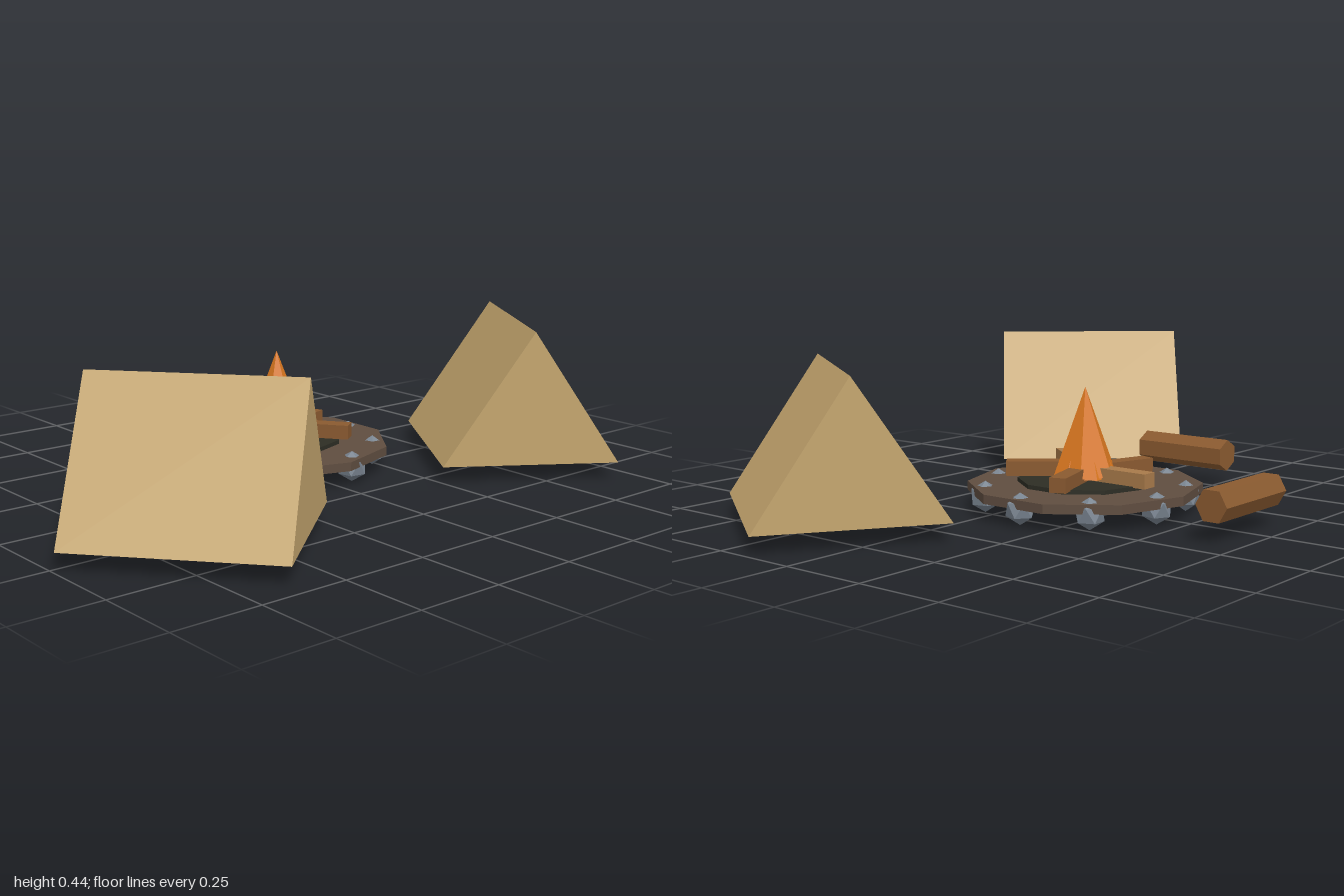
import * as THREE from 'three';

const mat = (name, color) => {
  const m = new THREE.MeshStandardMaterial({ color, flatShading: true });
  m.name = name;
  return m;
};

export function createModel() {
  const canvas = mat('tanCanvas', 0xc4a56e);
  canvas.side = THREE.DoubleSide;
  const earth = mat('brownEarth', 0x5f4d40);
  const ash = mat('darkAsh', 0x2d2d24);
  const stone = mat('greyStone', 0x7a8591);
  const bark = mat('brownWood', 0x8a5a30);
  const paleWood = mat('paleWood', 0xa87a4a);
  const fire = mat('orangeFlame', 0xd9771f);

  const model = new THREE.Group();
  model.name = 'campsite';
  const add = (parent, name, geometry, material, x, y, z) => {
    const mesh = new THREE.Mesh(geometry, material);
    mesh.name = name;
    mesh.position.set(x, y, z);
    parent.add(mesh);
    return mesh;
  };

  // Tents: two slopes and two gables, open underneath
  const tentGeometry = (w, h, l) => {
    const a = [-w / 2, 0, l / 2], b = [w / 2, 0, l / 2], c = [0, h, l / 2];
    const d = [-w / 2, 0, -l / 2], e = [w / 2, 0, -l / 2], f = [0, h, -l / 2];
    const corners = [a, b, c, e, d, f, b, e, f, b, f, c, d, a, c, d, c, f];
    const g = new THREE.BufferGeometry();
    g.setAttribute('position', new THREE.Float32BufferAttribute(corners.flat(), 3));
    g.computeVertexNormals();
    return g;
  };
  const tent = tentGeometry(0.518, 0.39, 0.572);
  add(model, 'leftTent', tent, canvas, 0.62, 0.05, 0.238).rotation.y = -0.593;
  add(model, 'rightTent', tent, canvas, -0.615, 0.05, 0.321).rotation.y = 0.703;

  // Fire pit
  const pit = new THREE.Group();
  pit.name = 'firePit';
  pit.position.set(0.016, 0, -0.147);
  model.add(pit);
  add(pit, 'groundDisc', new THREE.CylinderGeometry(0.337, 0.337, 0.026, 10), earth, 0, 0.063, 0);
  add(pit, 'ashBed', new THREE.CylinderGeometry(0.193, 0.193, 0.028, 10), ash, 0, 0.074, 0);

  // Ring of stones, each with a corner pointing up
  const rock = new THREE.IcosahedronGeometry(0.045, 0);
  rock.rotateX(-1.0172);
  for (let i = 0; i < 9; i++) {
    const t = (i / 9) * Math.PI * 2;
    add(pit, 'ringStone', rock, stone, 0.288 * Math.cos(t), 0.045, 0.288 * Math.sin(t)).rotation.y = -t;
  }

  // Firewood laid like spokes
  const stick = new THREE.BoxGeometry(0.205, 0.042, 0.048);
  for (let i = 0; i < 5; i++) {
    const t = Math.PI / 10 + (i / 5) * Math.PI * 2;
    const y = i > 2 ? 0.117 : 0.106;
    const log = add(pit, 'firewood', stick, i % 2 ? paleWood : bark, 0.122 * Math.cos(t), y, -0.122 * Math.sin(t));
    log.rotation.y = t;
  }

  // Flame: two crossed cones
  add(pit, 'outerFlame', new THREE.ConeGeometry(0.096, 0.25, 6), fire, 0, 0.225, 0);
  add(pit, 'innerFlame', new THREE.ConeGeometry(0.09, 0.21, 6), fire, 0, 0.2, 0).rotation.y = Math.PI / 6;

  // Seat logs
  const seat = new THREE.CylinderGeometry(0.048, 0.048, 0.3, 6);
  add(model, 'backSeatLog', seat, bark, 0.016, 0.098, -0.667).rotation.z = Math.PI / 2;
  add(model, 'sideSeatLog', seat, bark, -0.507, 0.098, -0.147).rotation.x = Math.PI / 2;

  return model;
}
